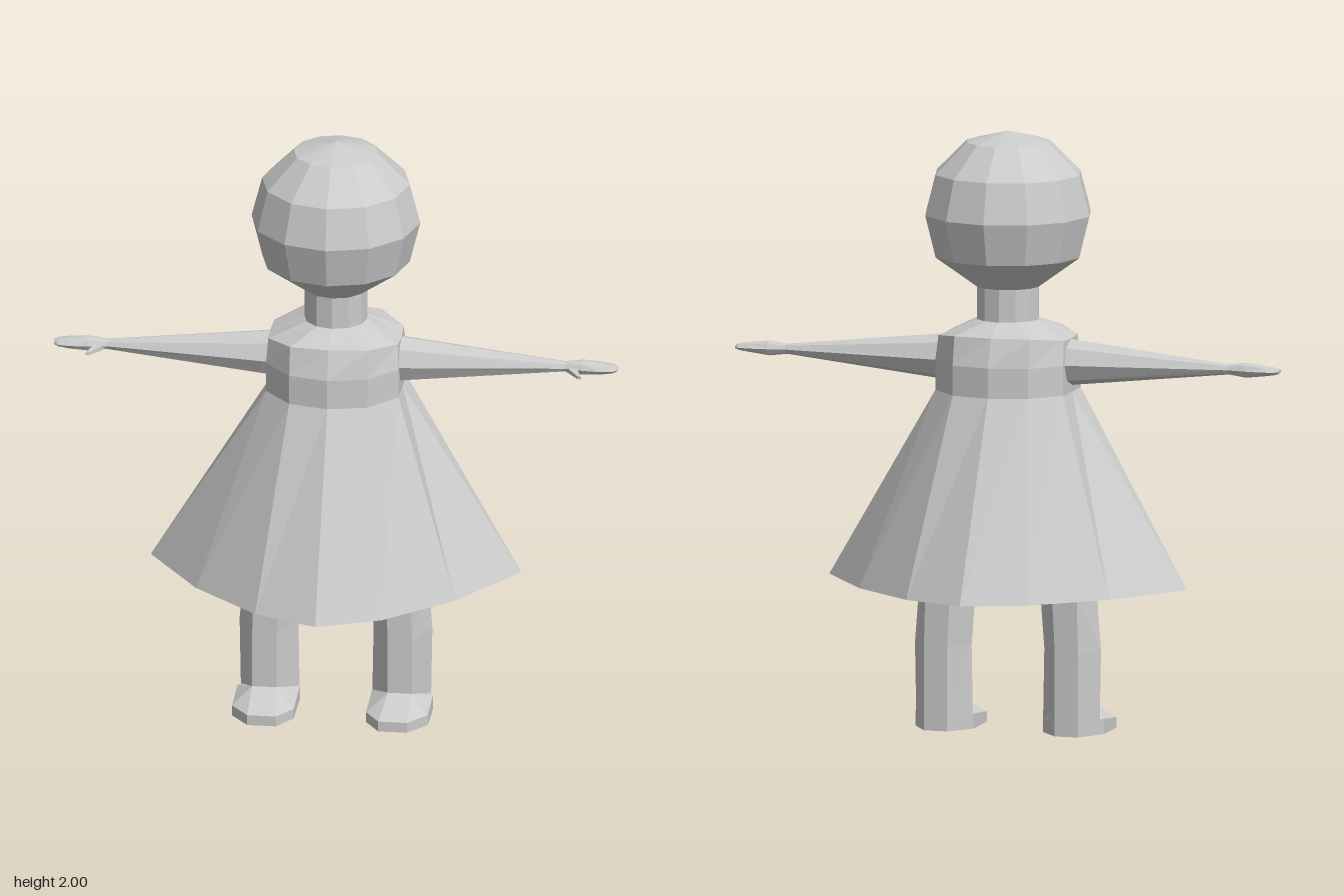
import * as THREE from 'three';
import { ConvexGeometry } from 'three/addons/geometries/ConvexGeometry.js';

const V = (x, y, z) => new THREE.Vector3(x, y, z);
const solid = new THREE.MeshStandardMaterial({ color: 0xcccccc, flatShading: true });
const cloth = new THREE.MeshStandardMaterial({ color: 0xcccccc, flatShading: true, side: THREE.DoubleSide });

// Skin a list of equal-length rings; optionally close the last ring
function loft(rings, capEnd = false) {
  const n = rings[0].length;
  const pos = rings.flat().flatMap((p) => [p.x, p.y, p.z]);
  const index = [];
  for (let i = 0; i < rings.length - 1; i++) {
    for (let j = 0; j < n; j++) {
      const a = i * n + j, b = i * n + ((j + 1) % n);
      index.push(a, b, b + n, a, b + n, a + n);
    }
  }
  if (capEnd) {
    const s = (rings.length - 1) * n;
    for (let j = 1; j < n - 1; j++) index.push(s, s + j, s + j + 1);
  }
  const g = new THREE.BufferGeometry();
  g.setAttribute('position', new THREE.Float32BufferAttribute(pos, 3));
  g.setIndex(index);
  g.computeVertexNormals();
  return g;
}

// Complete a 12-point ring from its front-left quarter of [x, y, z]
function ring(q) {
  const [f, a, b, s] = q;
  return [
    f, a, b, s,
    ...[b, a, f].map(([x, y, z]) => [x, y, -z]),
    ...[a, b, s].map(([x, y, z]) => [-x, y, -z]),
    ...[b, a].map(([x, y, z]) => [-x, y, z]),
  ].map((p) => V(...p));
}

function add(parent, name, geometry, material = solid) {
  const mesh = new THREE.Mesh(geometry, material);
  mesh.name = name;
  parent.add(mesh);
  return mesh;
}

function makeArm() {
  const arm = new THREE.Group();
  // Tapered sleeve running into a flat mitten: [x, half height, half depth]
  const sections = [
    [0.18, 0.082, 0.088], [0.24, 0.074, 0.083], [0.76, 0.017, 0.022], [0.82, 0.025, 0.032],
    [0.88, 0.018, 0.036], [0.92, 0.012, 0.03], [0.935, 0.007, 0.016],
  ];
  add(arm, 'armAndHand', loft(sections.map(([x, ry, rz]) =>
    Array.from({ length: 8 }, (_, i) => {
      const t = (i * Math.PI) / 4;
      return V(x, 1.238 + ry * Math.cos(t), rz * Math.sin(t));
    })), true));
  // Thumb
  add(arm, 'thumb', new ConvexGeometry([
    V(0.765, 1.225, 0.015), V(0.8, 1.225, 0.02), V(0.765, 1.243, 0.015), V(0.8, 1.243, 0.02),
    V(0.81, 1.224, 0.07), V(0.822, 1.224, 0.072), V(0.81, 1.234, 0.07), V(0.822, 1.234, 0.072),
  ]));
  return arm;
}

function makeLeg() {
  const leg = new THREE.Group();
  // Six-sided leg flaring towards the crotch: [y, inner x, front inner x, front outer x, outer x]
  const sections = [
    [0, 0.12, 0.185, 0.265, 0.315], [0.28, 0.125, 0.185, 0.265, 0.32],
    [0.48, 0.11, 0.175, 0.26, 0.305], [0.52, 0.085, 0.17, 0.26, 0.302], [0.62, 0, 0.13, 0.25, 0.29],
  ];
  add(leg, 'legColumn', loft(sections.map(([y, i, fi, fo, o]) => [
    V(fi, y, 0.105), V(fo, y, 0.105), V(o, y, 0), V(fo, y, -0.08), V(fi, y, -0.08), V(i, y, 0),
  ]), true));
  // Wedge-shaped foot with a rounded toe
  const sole = [
    [0.12, 0], [0.12, 0.16], [0.17, 0.235], [0.265, 0.235], [0.325, 0.16], [0.325, 0.02],
    [0.265, -0.08], [0.185, -0.08],
  ];
  const points = sole.flatMap(([x, z]) => [V(x, 0, z), V(x, z < 0.1 ? 0.05 : 0.035, z)]);
  points.push(V(0.185, 0.085, 0.105), V(0.265, 0.085, 0.105));
  add(leg, 'foot', new ConvexGeometry(points));
  return leg;
}

export function createModel() {
  const model = new THREE.Group();
  model.name = 'figure';

  // Head
  const profile = [[0.1, 1.48], [0.245, 1.585], [0.28, 1.725], [0.245, 1.86], [0.14, 1.965], [0, 2]];
  add(model, 'head', new THREE.LatheGeometry(profile.map((p) => new THREE.Vector2(...p)), 12));

  // Neck
  add(model, 'neck', new THREE.CylinderGeometry(0.105, 0.105, 0.115, 12, 1, true).translate(0, 1.43, 0));

  // Dress: flared skirt, bodice and sloping shoulders
  const chest = (y) => ring([[0, y, 0.23], [0.13, y, 0.2], [0.22, y, 0.1], [0.222, y, 0]]);
  add(model, 'dress', loft([
    ring([[0, 0.495, 0.55], [0.21, 0.495, 0.465], [0.43, 0.495, 0.27], [0.615, 0.495, 0]]),
    chest(1.14),
    chest(1.24),
    ring([[0, 1.335, 0.195], [0.13, 1.335, 0.18], [0.215, 1.32, 0.08], [0.218, 1.316, 0]]),
    ring([[0, 1.375, 0.105], [0.0525, 1.375, 0.091], [0.091, 1.375, 0.0525], [0.105, 1.375, 0]]),
  ]), cloth);

  // Hips inside the skirt
  add(model, 'hips', loft([
    ring([[0, 0.6, 0.1], [0.13, 0.6, 0.105], [0.25, 0.6, 0.1], [0.29, 0.6, 0]]),
    ring([[0, 0.85, 0.12], [0.1, 0.85, 0.11], [0.18, 0.85, 0.07], [0.2, 0.85, 0]]),
  ], true), cloth);

  // Arms and legs, mirrored
  for (const [side, s] of [['left', 1], ['right', -1]]) {
    const arm = makeArm();
    const leg = makeLeg();
    arm.name = side + 'Arm';
    leg.name = side + 'Leg';
    arm.scale.x = leg.scale.x = s;
    model.add(arm, leg);
  }
  return model;
}
